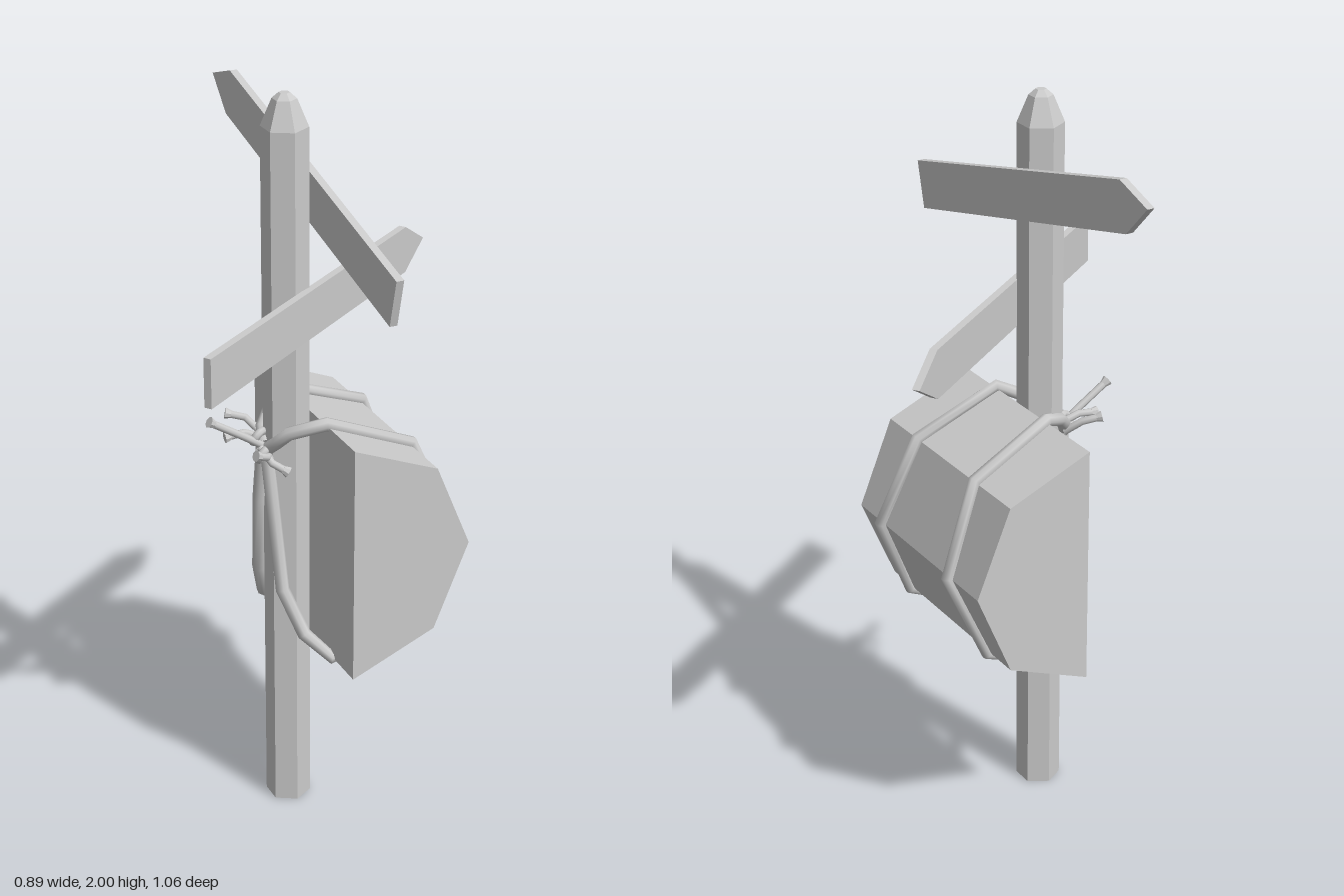
import * as THREE from 'three';

const flat = new THREE.MeshStandardMaterial({ color: 0xcccccc, flatShading: true });
const smooth = new THREE.MeshStandardMaterial({ color: 0xcccccc, side: THREE.DoubleSide });

// Straight-segment path whose tube rings fall exactly on the corners
class PolyPath extends THREE.Curve {
  constructor(points) {
    super();
    this.points = points.map((p) => new THREE.Vector3(...p));
  }
  getPoint(t, target = new THREE.Vector3()) {
    const n = this.points.length - 1;
    const i = Math.min(Math.floor(t * n + 1e-6), n - 1);
    return target.lerpVectors(this.points[i], this.points[i + 1], t * n - i);
  }
  getPointAt(t, target) {
    return this.getPoint(t, target);
  }
  getTangentAt(t, target = new THREE.Vector3()) {
    const n = this.points.length - 1;
    const i = Math.round(t * n);
    const p = this.points;
    target.set(0, 0, 0);
    if (i > 0) target.add(p[i].clone().sub(p[i - 1]).normalize());
    if (i < n) target.add(p[i + 1].clone().sub(p[i]).normalize());
    return target.normalize();
  }
}

function add(parent, name, geometry, material = flat) {
  const mesh = new THREE.Mesh(geometry, material);
  mesh.name = name;
  parent.add(mesh);
  return mesh;
}

function extrudeOutline(points, depth) {
  const shape = new THREE.Shape(points.map((p) => new THREE.Vector2(...p)));
  return new THREE.ExtrudeGeometry(shape, { depth, bevelEnabled: false }).translate(0, 0, -depth / 2);
}

function rope(parent, name, points, radius) {
  return add(parent, name, new THREE.TubeGeometry(new PolyPath(points), points.length - 1, radius, 8), smooth);
}

// Loose rope end with a flared tip
function ropeEnd(parent, points) {
  const group = new THREE.Group();
  group.name = 'ropeEnd';
  rope(group, 'strand', points, 0.01);
  const [a, b] = points.slice(-2).map((p) => new THREE.Vector3(...p));
  const tip = add(group, 'frayedTip', new THREE.CylinderGeometry(0.015, 0.01, 0.016, 8));
  tip.position.copy(b);
  tip.quaternion.setFromUnitVectors(new THREE.Vector3(0, 1, 0), b.clone().sub(a).normalize());
  parent.add(group);
}

export function createModel() {
  const model = new THREE.Group();
  model.name = 'signpost';

  // Six-sided post with a tapered top
  const post = new THREE.Group();
  post.name = 'post';
  post.position.set(-0.095, 0, 0.045);
  model.add(post);
  const rings = [[0, 0.06], [1.915, 0.06], [1.985, 0.031], [2, 0.014]];
  for (let i = 0; i < 3; i++) {
    const [y0, r0] = rings[i];
    const [y1, r1] = rings[i + 1];
    const open = i === 1;
    add(post, ['shaft', 'taper', 'peak'][i], new THREE.CylinderGeometry(r1, r0, y1 - y0, 6, 1, open))
      .position.y = (y0 + y1) / 2;
  }

  // Arrow boards
  const board = extrudeOutline(
    [[-0.54, -0.064], [0.438, -0.064], [0.54, 0], [0.438, 0.064], [-0.54, 0.064]], 0.02);
  const upper = add(model, 'upperArrowBoard', board);
  upper.position.set(-0.03, 1.751, -0.003);
  upper.rotation.set(0, Math.PI / 2, THREE.MathUtils.degToRad(13.8));
  const lower = add(model, 'lowerArrowBoard', board);
  lower.position.set(0, 1.435, 0.053);
  lower.rotation.y = THREE.MathUtils.degToRad(35.2);

  // Half-octagon drum with its flat side against the post
  const profile = [];
  for (let i = 0; i <= 4; i++) {
    const a = -Math.PI / 2 + (i * Math.PI) / 4;
    profile.push([0.329 * Math.cos(a), 0.329 * Math.sin(a)]);
  }
  add(model, 'halfDrum', extrudeOutline(profile, 0.61)).position.set(-0.04, 0.828, 0.027);

  // Ropes run over the drum and meet behind the post
  rope(model, 'frontRope', [
    [-0.15, 1.07, 0.06], [-0.14, 1.1, 0.095], [-0.12, 1.13, 0.12], [-0.04, 1.163, 0.172],
    [0.195, 1.066, 0.18], [0.293, 0.828, 0.213], [0.195, 0.592, 0.237], [-0.04, 0.497, 0.207],
    [-0.1, 0.56, 0.162], [-0.14, 0.68, 0.115], [-0.15, 0.9, 0.085], [-0.155, 1.05, 0.06],
  ], 0.018);
  rope(model, 'backRope', [
    [-0.15, 1.07, 0.03], [-0.14, 1.1, -0.005], [-0.11, 1.13, -0.03], [-0.04, 1.163, -0.075],
    [0.195, 1.066, -0.11], [0.293, 0.828, -0.138], [0.195, 0.592, -0.168], [-0.04, 0.497, -0.162],
    [-0.1, 0.56, -0.1], [-0.145, 0.68, -0.025], [-0.155, 0.9, 0.005], [-0.155, 1.05, 0.03],
  ], 0.018);

  // Knots and loose ends
  for (const [y, z] of [[1.09, 0.025], [1.055, 0.06]]) {
    const knot = add(model, 'knot', new THREE.TorusGeometry(0.019, 0.011, 8, 12), smooth);
    knot.position.set(-0.165, y, z);
    knot.rotation.set(0.6, 0.5, 0);
  }
  ropeEnd(model, [[-0.16, 1.07, 0.04], [-0.21, 1.105, 0.042], [-0.3, 1.162, 0.042]]);
  ropeEnd(model, [[-0.16, 1.09, 0.025], [-0.2, 1.105, 0.018], [-0.245, 1.1, 0.014]]);
  ropeEnd(model, [[-0.14, 1.08, -0.01], [-0.17, 1.115, -0.045], [-0.21, 1.125, -0.064]]);
  ropeEnd(model, [[-0.15, 1.05, 0.06], [-0.17, 1.06, 0.09], [-0.195, 1.07, 0.094]]);
  ropeEnd(model, [[-0.17, 1.07, 0.05], [-0.155, 1.04, 0.09], [-0.125, 1.02, 0.108]]);

  return model;
}
